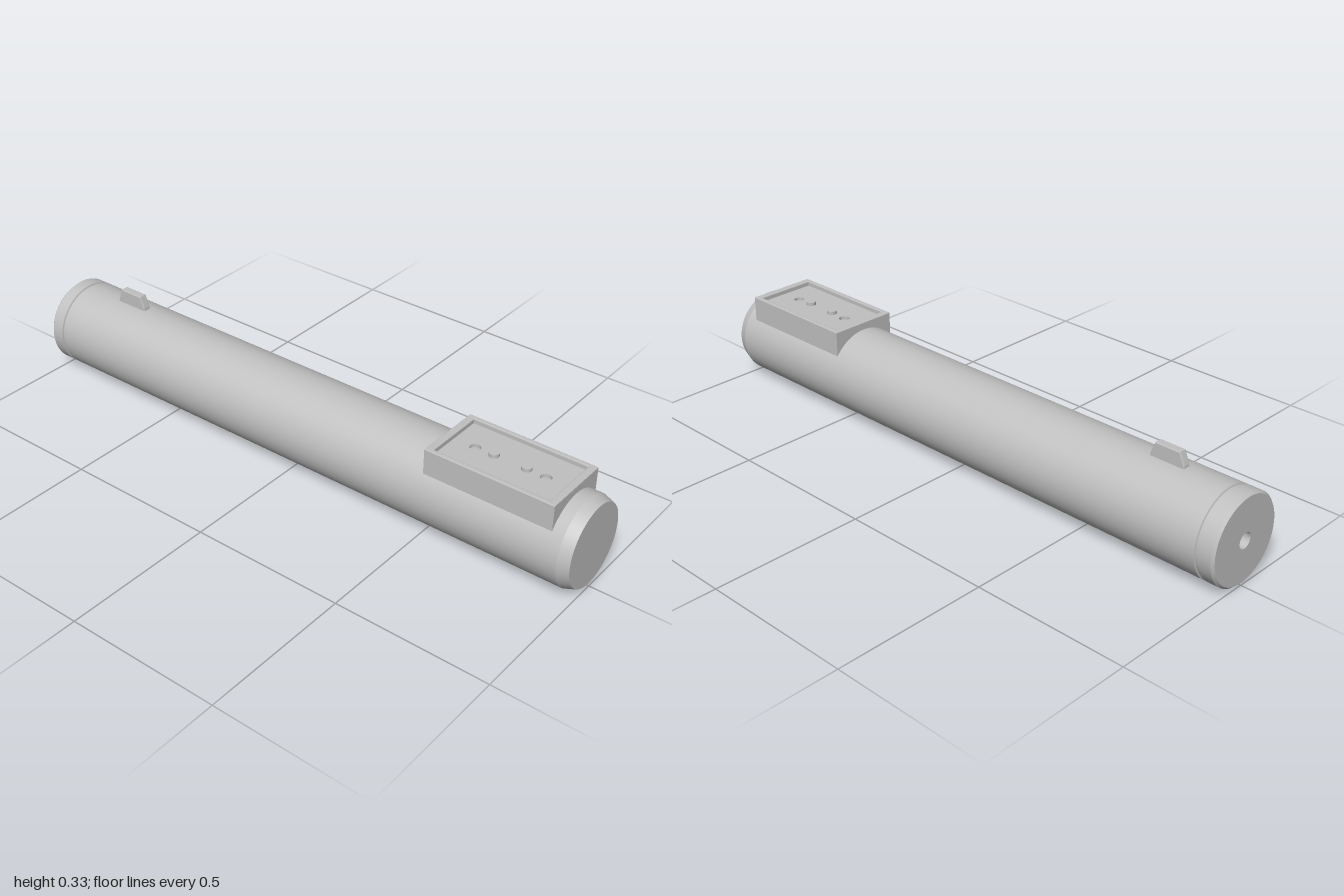
import * as THREE from 'three';
import { mergeGeometries } from 'three/addons/utils/BufferGeometryUtils.js';

const R = 0.142;   // tube radius
const CY = 0.143;  // tube axis height

export function createModel() {
  const model = new THREE.Group();
  const metal = new THREE.MeshStandardMaterial({ color: 0xc0c0c0 });
  metal.name = 'grey metal';

  const add = (name, geometry, parent = model) => {
    const mesh = new THREE.Mesh(geometry, metal);
    mesh.name = name;
    parent.add(mesh);
    return mesh;
  };

  // Turned part along z; each profile step is its own strip, so rims stay sharp
  const turned = (profile) => {
    const strips = [];
    for (let i = 0; i + 1 < profile.length; i++) {
      const pair = [profile[i], profile[i + 1]].map(([r, z]) => new THREE.Vector2(r, z));
      strips.push(new THREE.LatheGeometry(pair, 72));
    }
    return mergeGeometries(strips).rotateX(Math.PI / 2);
  };

  // Tube with a chamfered front end
  add('tube', turned([
    [0.137, -0.948], [0.137, -0.94], [R, -0.938], [R, 0.965], [0.13, 1], [0, 1],
  ])).position.y = CY;

  // Rear cap with a blind centre hole, set off by a narrow groove
  add('rearCap', turned([
    [0, -0.96], [0.025, -0.96], [0.025, -1], [0.135, -1], [R, -0.992], [R, -0.95], [0.137, -0.948],
  ])).position.y = CY;

  // Control box sitting on the tube
  const box = new THREE.Group();
  box.name = 'controlBox';
  box.position.z = 0.718;
  model.add(box);

  const rectangle = (Type, w, d) => {
    const s = new Type();
    s.moveTo(-w, -d);
    s.lineTo(w, -d);
    s.lineTo(w, d);
    s.lineTo(-w, d);
    s.closePath();
    return s;
  };
  // Extrude a plan shape upwards from y0 to y1
  const upright = (shape, y0, y1, bevel = 0) =>
    new THREE.ExtrudeGeometry(shape, {
      depth: y1 - y0 - 2 * bevel, bevelEnabled: bevel > 0, bevelThickness: bevel,
      bevelSize: bevel, bevelOffset: -bevel, bevelSegments: 2, curveSegments: 24,
    }).rotateX(-Math.PI / 2).translate(0, y0 + bevel, 0);

  // Raised wall around the panel
  const wall = rectangle(THREE.Shape, 0.115, 0.21);
  wall.holes.push(rectangle(THREE.Path, 0.1, 0.187));
  add('boxWall', upright(wall, 0.22, 0.31, 0.003), box);

  // Recessed panel with two screw holes
  const panelY = 0.295;
  const panel = rectangle(THREE.Shape, 0.103, 0.19);
  for (const side of [-1, 1]) {
    const hole = new THREE.Path();
    hole.absarc(0, side * 0.115, 0.017, 0, Math.PI * 2);
    panel.holes.push(hole);
  }
  add('panel', upright(panel, 0.25, panelY), box);

  // Push buttons between the holes
  for (const side of [-1, 1]) {
    const button = add('button', new THREE.CylinderGeometry(0.016, 0.016, 0.022, 24), box);
    button.position.set(0, panelY, side * 0.053);
  }

  // Tapered sight fin near the back
  const fin = new THREE.Shape();
  fin.moveTo(-0.06, 0.275);
  fin.lineTo(0.06, 0.275);
  fin.lineTo(0.057, 0.293);
  fin.lineTo(0.042, 0.331);
  fin.lineTo(-0.042, 0.331);
  fin.lineTo(-0.057, 0.293);
  fin.closePath();
  const finGeometry = new THREE.ExtrudeGeometry(fin, {
    depth: 0.02, bevelThickness: 0.003, bevelSize: 0.003, bevelOffset: -0.003, bevelSegments: 2,
  }).translate(0, 0, -0.01).rotateY(Math.PI / 2);
  add('sightFin', finGeometry).position.z = -0.738;

  return model;
}
